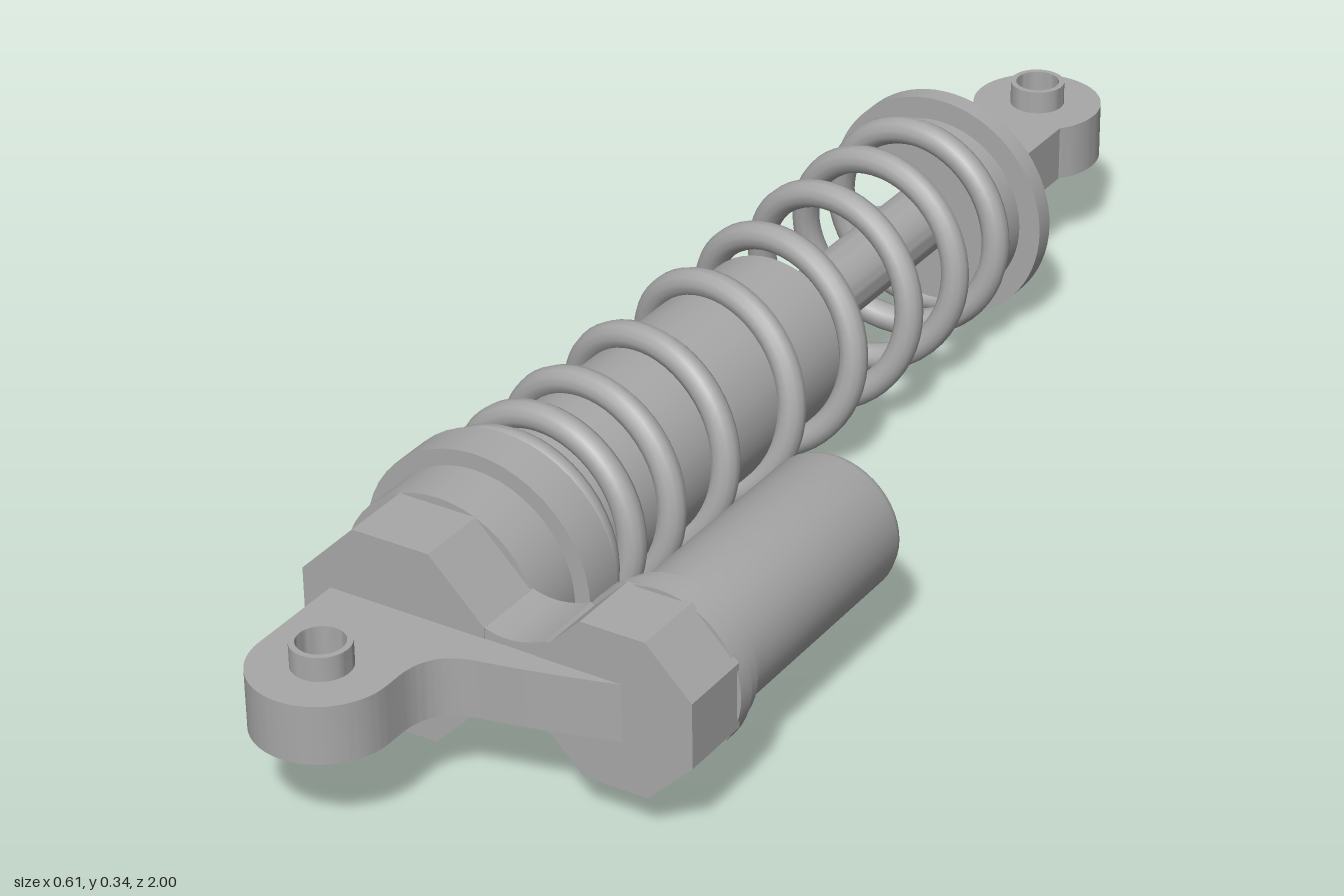
import * as THREE from 'three';
import { toCreasedNormals } from 'three/addons/utils/BufferGeometryUtils.js';

const CX = -0.136, CY = 0.172, RX = 0.188; // damper axis and reservoir axis
const LUG_TOP = 0.213, LUG_THICK = 0.083;

const grey = new THREE.MeshStandardMaterial({ color: 0xa8a8a8, side: THREE.DoubleSide });
grey.name = 'grey metal';

function add(parent, name, geometry, x = 0, y = 0, z = 0) {
  const mesh = new THREE.Mesh(geometry, grey);
  mesh.name = name;
  mesh.position.set(x, y, z);
  parent.add(mesh);
  return mesh;
}

// Turned part along z from [radius, z] pairs, z rising on the outside
function turned(profile, segments = 48, phi = 0) {
  const pts = profile.map(([r, z]) => new THREE.Vector2(r, z));
  const g = new THREE.LatheGeometry(pts, segments, phi).rotateX(Math.PI / 2);
  return toCreasedNormals(g, 0.5);
}

const rod = (r, z0, z1, segments, phi) =>
  turned([[0, z0], [r, z0], [r, z1], [0, z1]], segments, phi);

const octagon = (apothem, z0, z1) =>
  rod(apothem / Math.cos(Math.PI / 8), z0, z1, 8, Math.PI / 8);

// Flat plate drawn in x and z, with its thickness along y
function plate(shape) {
  const g = new THREE.ExtrudeGeometry(shape, { depth: LUG_THICK, bevelEnabled: false, curveSegments: 24 });
  return toCreasedNormals(g.rotateX(Math.PI / 2).translate(0, LUG_TOP, 0), 0.5);
}

// Sleeve through an eye, axis along y
function bushing() {
  const h = 0.075, o = 0.04, i = 0.032;
  const pts = [[i, -h], [o, -h], [o, h], [i, h], [i, -h]].map(p => new THREE.Vector2(...p));
  return toCreasedNormals(new THREE.LatheGeometry(pts, 32), 0.5);
}

function eyeHole(shape, z) {
  shape.holes.push(new THREE.Path().absarc(CX, z, 0.038, 0, Math.PI * 2, true));
}

// Turned part with a parallel slot, half width w, open towards -x
function slotted(profile, w) {
  const segs = 64, n = profile.length;
  const g = new THREE.LatheGeometry(profile.map(p => new THREE.Vector2(...p)), segs);
  const pos = g.attributes.position;
  for (let k = 0; k < pos.count; k++) {
    const r = profile[k % n][0], gap = Math.asin(Math.min(1, w / r));
    const a = gap + (Math.floor(k / n) / segs) * (Math.PI * 2 - 2 * gap);
    pos.setX(k, -r * Math.cos(a));
    pos.setZ(k, r * Math.sin(a));
  }
  return toCreasedNormals(g.rotateX(Math.PI / 2), 0.5);
}

function slotWall(profile, w) {
  const s = new THREE.Shape(profile.slice(0, -1).map(([r, z]) =>
    new THREE.Vector2(-Math.sqrt(Math.max(0, r * r - w * w)), z)));
  return new THREE.ShapeGeometry(s).rotateX(Math.PI / 2);
}

// Coil with tight ends and a wide middle; z is given at each pass over the top
class Coil extends THREE.Curve {
  constructor() {
    super();
    const zs = [-0.6, -0.548, -0.437, -0.312, -0.164, -0.005, 0.167, 0.307, 0.41, 0.484, 0.515];
    this.turns = zs.length - 1;
    this.rise = new THREE.SplineCurve(zs.map((z, k) => new THREE.Vector2(k, z)));
  }
  getPoint(t, target = new THREE.Vector3()) {
    const u = 0.045 + t * 0.92;
    const a = u * this.turns * Math.PI * 2;
    return target.set(0.14 * Math.sin(a), 0.14 * Math.cos(a), this.rise.getPoint(u).y);
  }
}

export function createModel() {
  const model = new THREE.Group();
  model.name = 'shockAbsorber';

  const damper = new THREE.Group();
  damper.name = 'damper';
  damper.position.set(CX, CY, 0);
  model.add(damper);

  // Rod, tube and adjuster stack
  add(damper, 'pistonRod', rod(0.049, -0.72, -0.1));
  add(damper, 'rodCollar', rod(0.076, -0.737, -0.69));
  add(damper, 'damperTube', turned([[0, -0.142], [0.122, -0.142], [0.122, -0.01],
    [0.127, -0.01], [0.127, 0.6], [0, 0.6]]));
  add(damper, 'preloadRing', rod(0.171, 0.512, 0.575));
  add(damper, 'lowerSleeve', rod(0.148, 0.57, 0.655));
  add(damper, 'damperHead', octagon(0.137, 0.65, 0.757));

  // Coil spring
  add(damper, 'spring', new THREE.TubeGeometry(new Coil(), 480, 0.02, 12, false));

  // Slotted spring retainer at the rod end
  const w = 0.05;
  const profile = [[w, -0.7], [0.08, -0.7], [0.085, -0.683], [0.1, -0.661], [0.13, -0.641],
    [0.171, -0.63], [0.171, -0.6], [0.138, -0.6], [0.138, -0.565], [w, -0.565], [w, -0.7]];
  add(damper, 'springRetainer', slotted(profile, w));
  for (const side of [-1, 1]) add(damper, 'retainerSlotWall', slotWall(profile, w), 0, side * w, 0);

  // Reservoir with its collar and head
  const reservoir = new THREE.Group();
  reservoir.name = 'reservoir';
  reservoir.position.set(RX, CY, 0);
  model.add(reservoir);
  add(reservoir, 'reservoirCan', turned([[0, 0.225], [0.08, 0.225], [0.09, 0.228], [0.097, 0.235],
    [0.1, 0.245], [0.1, 0.62], [0, 0.62]]));
  add(reservoir, 'reservoirCollar', turned([[0, 0.605], [0.111, 0.605], [0.111, 0.63],
    [0.118, 0.63], [0.118, 0.655], [0, 0.655]]));
  add(reservoir, 'reservoirHead', octagon(0.112, 0.65, 0.757));

  // Waisted bridge between the two heads
  const waist = new THREE.Shape();
  waist.moveTo(-0.03, CY + 0.06);
  waist.lineTo(0, CY + 0.057);
  waist.quadraticCurveTo(0.04, CY + 0.042, 0.09, CY + 0.066);
  waist.lineTo(0.13, CY + 0.07);
  waist.lineTo(0.13, CY - 0.07);
  waist.lineTo(0.09, CY - 0.066);
  waist.quadraticCurveTo(0.04, CY - 0.042, 0, CY - 0.057);
  waist.lineTo(-0.03, CY - 0.06);
  const bridge = new THREE.ExtrudeGeometry(waist, { depth: 0.106, bevelEnabled: false, curveSegments: 16 });
  add(model, 'bridge', toCreasedNormals(bridge, 0.5), 0, 0, 0.65);

  // Front mounting lug with a web running to the reservoir head
  const front = new THREE.Shape();
  front.moveTo(CX - 0.095, 0.74);
  front.lineTo(CX - 0.095, 0.905);
  front.absarc(CX, 0.905, 0.095, Math.PI, 0, true);
  front.lineTo(CX + 0.095, 0.875);
  front.quadraticCurveTo(CX + 0.097, 0.815, 0.02, 0.803);
  front.quadraticCurveTo(0.1, 0.787, 0.2, 0.757);
  front.lineTo(0.2, 0.74);
  eyeHole(front, 0.905);
  add(model, 'frontLug', plate(front));

  // Rear mounting lug
  const half = 0.072, a = Math.acos(half / 0.095);
  const rear = new THREE.Shape();
  rear.moveTo(CX + half, -0.72);
  rear.lineTo(CX - half, -0.72);
  rear.absarc(CX, -0.905, 0.095, Math.PI - a, Math.PI * 2 + a, false);
  eyeHole(rear, -0.905);
  add(model, 'rearLug', plate(rear));

  for (const z of [-0.905, 0.905]) add(model, 'eyeBushing', bushing(), CX, CY, z);

  return model;
}
